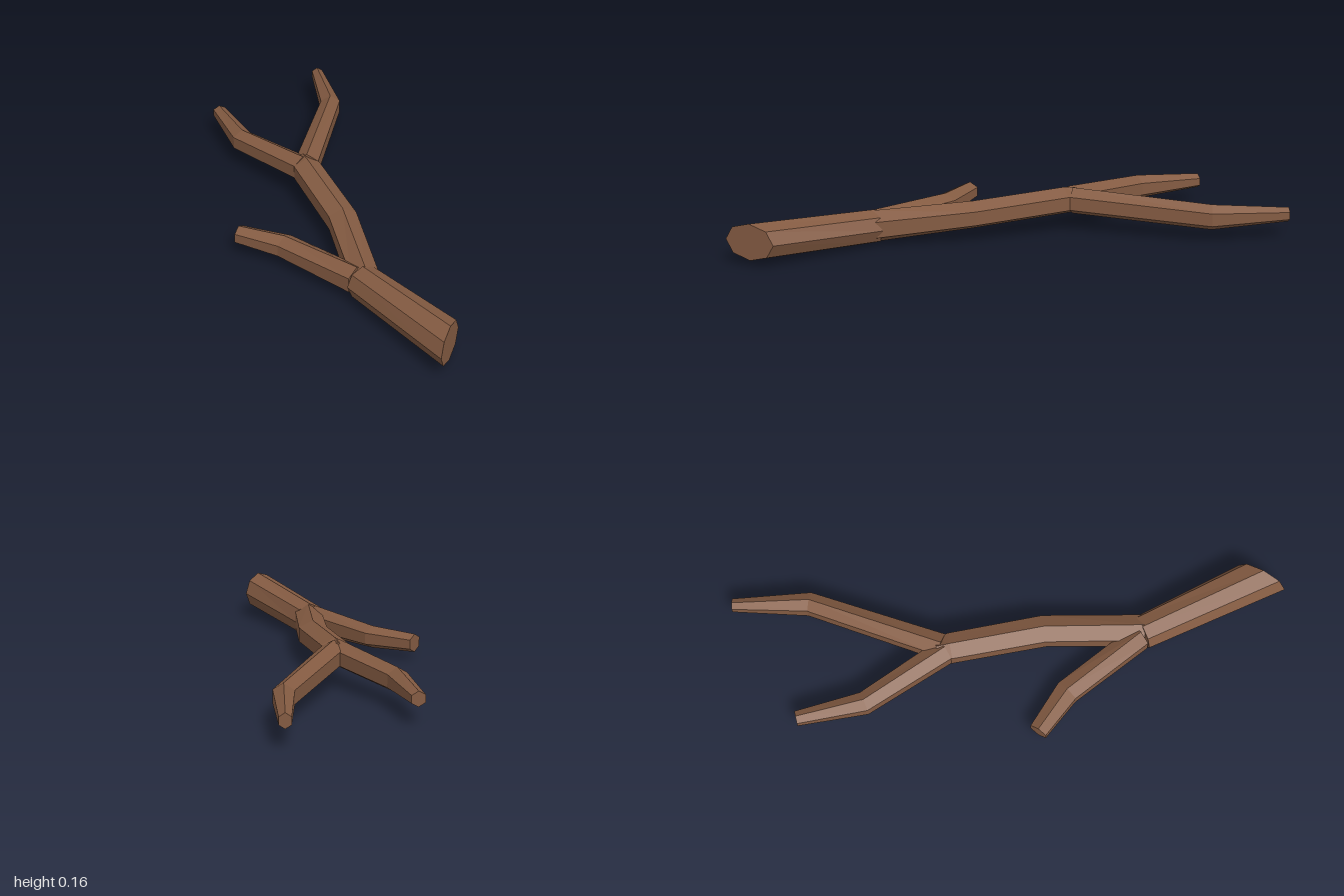
import * as THREE from 'three';

const UP = new THREE.Vector3(0, 1, 0);

// Faceted limb through rings [x, y, z, halfWidth, halfHeight, optional side direction [x, z]]
function limb(name, rings, sides, offset, material) {
  const centres = rings.map(([x, y, z]) => new THREE.Vector3(x, y, z));
  const flat = (a, b) => b.clone().sub(a).setY(0).normalize();
  const loops = rings.map(([, , , hw, hh, dir], i) => {
    const tangent = new THREE.Vector3();
    if (i > 0) tangent.add(flat(centres[i - 1], centres[i]));
    if (i < rings.length - 1) tangent.add(flat(centres[i], centres[i + 1]));
    const side = dir
      ? new THREE.Vector3(dir[0], 0, dir[1]).normalize()
      : new THREE.Vector3().crossVectors(UP, tangent).normalize();
    return Array.from({ length: sides }, (_, k) => {
      const a = offset + (k / sides) * Math.PI * 2;
      return centres[i].clone()
        .addScaledVector(side, Math.cos(a) * hw)
        .addScaledVector(UP, Math.sin(a) * hh);
    });
  });

  const points = [];
  const last = loops.length - 1;
  for (let k = 0; k < sides; k++) {
    const n = (k + 1) % sides;
    for (let i = 0; i < last; i++) {
      const a = loops[i], b = loops[i + 1];
      points.push(a[k], a[n], b[n], a[k], b[n], b[k]);
    }
    // End caps
    points.push(centres[0], loops[0][n], loops[0][k]);
    points.push(centres[last], loops[last][k], loops[last][n]);
  }
  const geometry = new THREE.BufferGeometry().setFromPoints(points);
  geometry.computeVertexNormals();
  const mesh = new THREE.Mesh(geometry, material);
  mesh.name = name;
  return mesh;
}

export function createModel() {
  const bark = new THREE.MeshStandardMaterial({ color: 0x845b42 });
  bark.name = 'brown bark';
  const group = new THREE.Group();
  group.name = 'branch';
  const hex = Math.PI / 6;

  group.add(
    // Thick butt with a slanted cut
    limb('butt', [
      [0.036, 0.093, 0.93, 0.096, 0.068, [-0.13, 0.14]],
      [-0.068, 0.067, 0.45, 0.065, 0.063],
    ], 8, 0, bark),
    // Main stem, hexagonal with a ridge on top
    limb('stem', [
      [-0.062, 0.069, 0.46, 0.058, 0.06],
      [0.006, 0.097, 0.1, 0.06, 0.052],
      [0.01, 0.116, -0.25, 0.058, 0.051],
      [0.012, 0.115, -0.3, 0.042, 0.046],
    ], 6, hex, bark),
    limb('sideTwig', [
      [-0.085, 0.07, 0.44, 0.05, 0.055],
      [-0.232, 0.066, 0.13, 0.05, 0.042],
      [-0.355, 0.067, -0.005, 0.038, 0.034],
    ], 6, hex, bark),
    limb('longTwig', [
      [0.022, 0.116, -0.28, 0.05, 0.05],
      [0.3, 0.093, -0.715, 0.043, 0.048],
      [0.358, 0.093, -0.993, 0.024, 0.027],
    ], 6, hex, bark),
    limb('shortTwig', [
      [0.002, 0.116, -0.27, 0.05, 0.05],
      [-0.12, 0.093, -0.595, 0.043, 0.046],
      [-0.122, 0.093, -0.845, 0.028, 0.027],
    ], 6, hex, bark),
  );
  return group;
}
